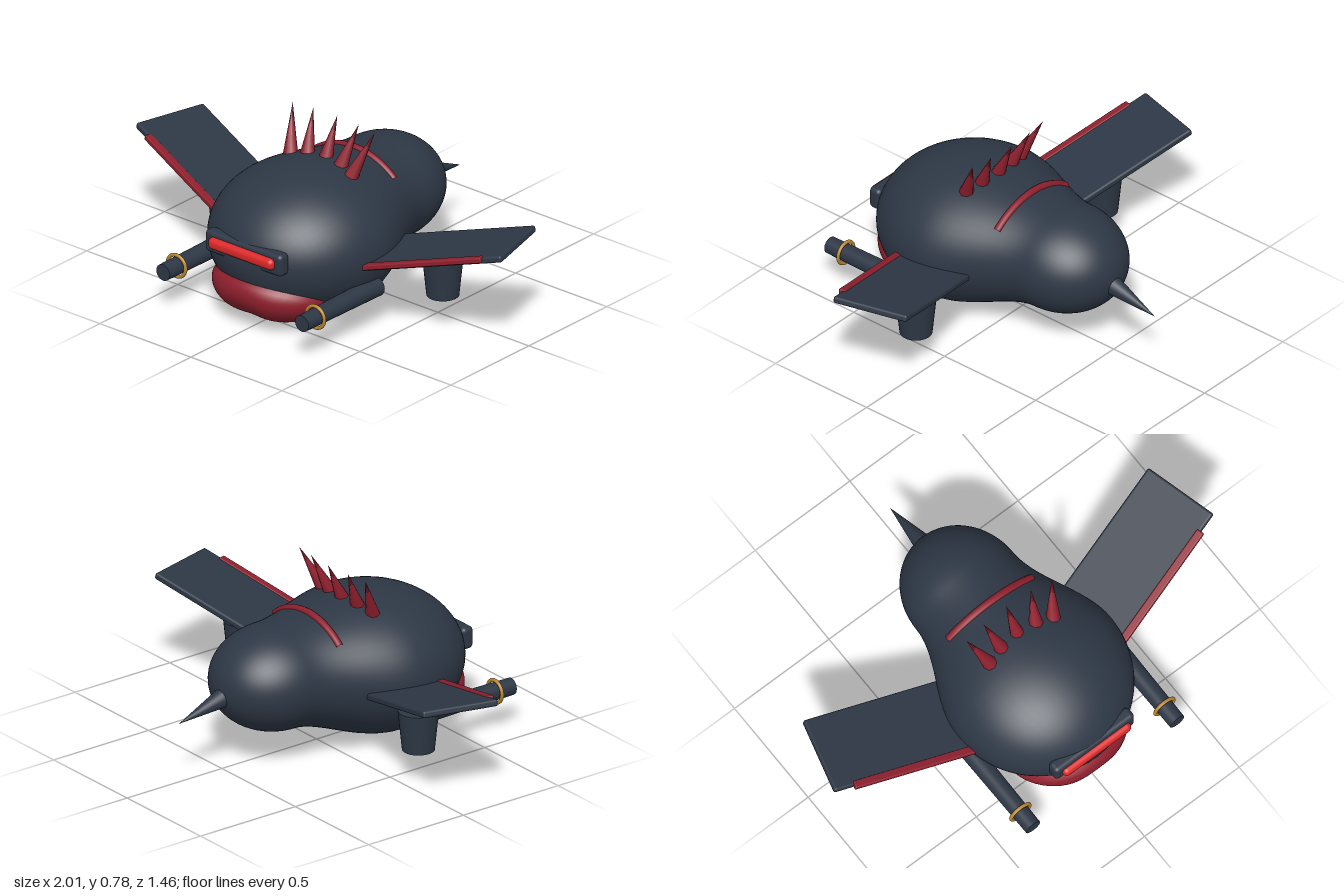
import * as THREE from 'three';
import { mergeVertices } from 'three/addons/utils/BufferGeometryUtils.js';
import { RoundedBoxGeometry } from 'three/addons/geometries/RoundedBoxGeometry.js';

const V = (x, y, z) => new THREE.Vector3(x, y, z);

function material(name, color) {
  const m = new THREE.MeshStandardMaterial({ color });
  m.name = name;
  return m;
}

// Move every vertex by a rule, weld the seams and smooth the normals
function reshape(geometry, rule) {
  const p = geometry.attributes.position;
  const v = V(0, 0, 0);
  for (let i = 0; i < p.count; i++) {
    rule(v.fromBufferAttribute(p, i));
    p.setXYZ(i, v.x, v.y, v.z);
  }
  geometry.deleteAttribute('uv');
  geometry.deleteAttribute('normal');
  const welded = mergeVertices(geometry, 1e-5);
  welded.computeVertexNormals();
  return welded;
}

// Pear-shaped hull: two ellipsoid caps joined by a smooth waist
function hullGeometry() {
  const points = [];
  const n = 20;
  for (let i = 0; i <= n; i++) {
    const a = (i / n) * Math.PI / 2;
    points.push(new THREE.Vector2(Math.sin(a), -0.22 - 0.292 * Math.cos(a)));
  }
  for (let i = 1; i < n; i++) points.push(new THREE.Vector2(1, -0.22 + 0.47 * i / n));
  for (let i = 0; i <= n; i++) {
    const a = (i / n) * Math.PI / 2;
    points.push(new THREE.Vector2(Math.cos(a), 0.25 + 0.43 * Math.sin(a)));
  }
  const lathe = new THREE.LatheGeometry(points, 56).rotateX(Math.PI / 2);
  return reshape(lathe, (v) => {
    const s = THREE.MathUtils.smoothstep(v.z, -0.22, 0.25);
    v.x *= THREE.MathUtils.lerp(0.26, 0.412, s);
    v.y = THREE.MathUtils.lerp(0.35, 0.3125, s) + v.y * THREE.MathUtils.lerp(0.228, 0.3125, s);
  });
}

// Swollen two-lobed patch wrapped around the lower front of the hull
function jawGeometry() {
  return reshape(new THREE.RingGeometry(0, 1, 56, 16), (v) => {
    const u = v.x, w = v.y, r2 = Math.min(1, u * u + w * w);
    const lon = 1.06 * u * (1 - 0.06 * w), lat = -0.72 + 0.46 * w;
    const n = V(Math.cos(lat) * Math.sin(lon), Math.sin(lat), Math.cos(lat) * Math.cos(lon));
    const notch = 1 - 0.2 * Math.exp(-((u / 0.22) ** 2));
    const lift = 0.072 * Math.pow(1 - r2, 0.7) * (1 + 0.5 * w) * notch + 0.002 - 0.008 * r2 ** 4;
    v.set(0.412 * n.x, 0.3125 + 0.3125 * n.y, 0.25 + 0.43 * n.z);
    v.addScaledVector(V(n.x / 0.412, n.y / 0.3125, n.z / 0.43).normalize(), lift);
  });
}

export function createModel() {
  const model = new THREE.Group();
  model.name = 'creatureAircraft';
  const slate = material('slate', 0x2d3745);
  const crimson = material('crimson', 0x8e1f2d);
  const glowRed = material('glowRed', 0xdc2828);
  const gold = material('gold', 0xb8862f);
  const orange = material('orange', 0xc05a22);

  const add = (name, geometry, mat, parent = model) => {
    const mesh = new THREE.Mesh(geometry, mat);
    mesh.name = name;
    parent.add(mesh);
    return mesh;
  };
  // Cone whose base centre and tip are given
  const spike = (name, base, tip, radius, mat, sides) => {
    const dir = tip.clone().sub(base);
    const length = dir.length();
    const mesh = add(name, new THREE.ConeGeometry(radius, length, sides).translate(0, length / 2, 0), mat);
    mesh.position.copy(base);
    mesh.quaternion.setFromUnitVectors(V(0, 1, 0), dir.normalize());
  };

  add('hull', hullGeometry(), slate);
  add('jaw', jawGeometry(), crimson);

  // Visor and glowing eye bar
  add('visor', new RoundedBoxGeometry(0.42, 0.1, 0.06, 4, 0.02), slate).position.set(0, 0.357, 0.64);
  add('eyeBar', new RoundedBoxGeometry(0.356, 0.052, 0.06, 4, 0.022), glowRed).position.set(0, 0.36, 0.664);

  // Back ridge
  const ridgeArc = 1.4;
  const ridge = add('backRidge', new THREE.TorusGeometry(0.34, 0.017, 10, 40, ridgeArc), crimson);
  ridge.rotation.z = Math.PI / 2 - ridgeArc / 2;
  ridge.position.set(0, 0.25, -0.048);

  // Crest and tail
  spike('crestSpike', V(0, 0.595, 0.14), V(0, 0.777, 0.06), 0.033, crimson, 8);
  spike('tailSpike', V(0, 0.325, -0.48), V(0, 0.264, -0.728), 0.045, slate, 20);

  for (const s of [1, -1]) {
    spike('crestSpike', V(s * 0.09, 0.595, 0.148), V(s * 0.125, 0.777, 0.068), 0.033, crimson, 8);
    spike('crestSpike', V(s * 0.165, 0.58, 0.168), V(s * 0.226, 0.777, 0.082), 0.033, crimson, 8);

    // Wing with a leading-edge stripe
    const wing = new THREE.Group();
    wing.name = s > 0 ? 'leftWing' : 'rightWing';
    wing.rotation.set(0, s * 0.262, s * 0.262, 'YXZ');
    wing.position.set(s * 0.642, 0.377, 0.103);
    model.add(wing);
    add('wingPanel', new RoundedBoxGeometry(0.68, 0.03, 0.34, 3, 0.01), slate, wing);
    add('wingStripe', new RoundedBoxGeometry(0.59, 0.024, 0.034, 3, 0.006), crimson, wing)
      .position.set(s * -0.045, 0.007, 0.17);

    // Lift pod below the wing
    const pod = new THREE.Group();
    pod.name = s > 0 ? 'leftPod' : 'rightPod';
    pod.position.set(s * 0.594, 0, 0.077);
    model.add(pod);
    add('podShell', new THREE.CylinderGeometry(0.087, 0.069, 0.178, 32), slate, pod).position.y = 0.229;
    const glow = add('podNozzle', new THREE.SphereGeometry(0.062, 28, 12), orange, pod);
    glow.scale.y = 0.2;
    glow.position.y = 0.141;

    // Cannon with a gold ring
    const cannon = new THREE.Group();
    cannon.name = s > 0 ? 'leftCannon' : 'rightCannon';
    cannon.position.set(s * 0.381, 0.176, 0);
    model.add(cannon);
    add('barrel', new THREE.CylinderGeometry(0.037, 0.043, 0.482, 28).rotateX(Math.PI / 2), slate, cannon)
      .position.z = 0.492;
    add('barrelRing', new THREE.TorusGeometry(0.049, 0.008, 10, 36), gold, cannon).position.z = 0.646;
  }
  return model;
}
